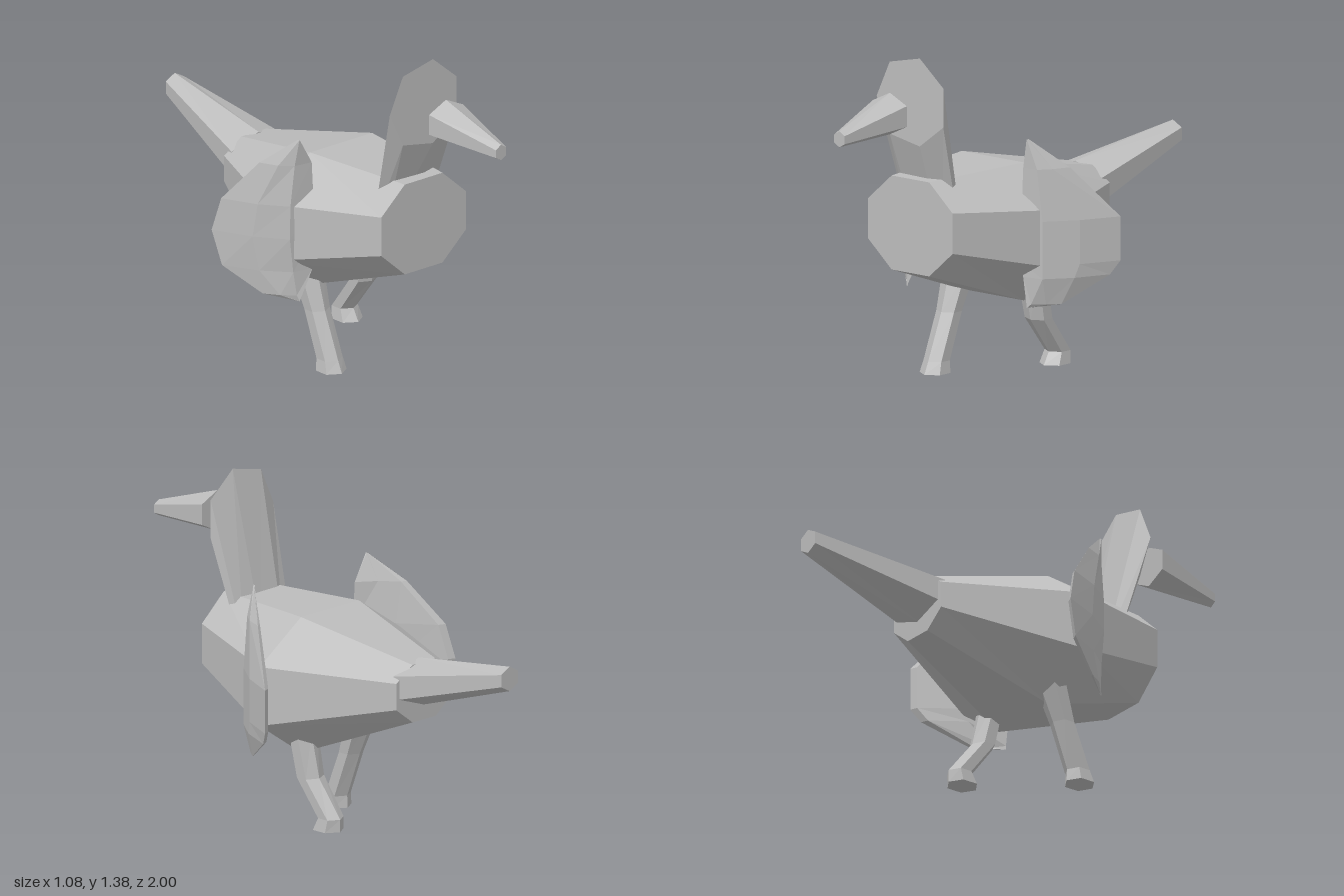
import * as THREE from 'three';

const V = (x, y, z) => new THREE.Vector3(x, y, z);

// Six-sided ring, corner on the first radius axis
const ringXY = (x, y, z, rx, ry) => Array.from({ length: 6 }, (_, i) => {
  const a = i * Math.PI / 3;
  return V(x + rx * Math.sin(a), y + ry * Math.cos(a), z);
});
const ringXZ = (x, y, z, rx, rz) => ringXY(x, z, 0, rx, rz).map(p => V(p.x, y, p.y));

// Closed faceted solid through equal-length rings, oriented outward
function loft(rings) {
  const tris = [];
  const n = rings[0].length;
  for (let r = 0; r < rings.length - 1; r++) {
    for (let i = 0; i < n; i++) {
      const j = (i + 1) % n;
      const [a, b, c, d] = [rings[r][i], rings[r][j], rings[r + 1][j], rings[r + 1][i]];
      tris.push([a, b, c], [a, c, d]);
    }
  }
  const cap = (ring, flip) => {
    const mid = ring.reduce((s, p) => s.add(p), V(0, 0, 0)).divideScalar(n);
    ring.forEach((p, i) => {
      const q = ring[(i + 1) % n];
      tris.push(flip ? [mid, q, p] : [mid, p, q]);
    });
  };
  cap(rings[0], true);
  cap(rings[rings.length - 1], false);
  const o = rings[0][0];
  let volume = 0;
  const area = V(0, 0, 0);
  for (const [a, b, c] of tris) {
    area.crossVectors(b.clone().sub(o), c.clone().sub(o));
    volume += a.clone().sub(o).dot(area);
  }
  const pts = tris.flatMap(([a, b, c]) => (volume < 0 ? [a, c, b] : [a, b, c]));
  const g = new THREE.BufferGeometry().setFromPoints(pts);
  g.computeVertexNormals();
  return g;
}

export function createModel() {
  const group = new THREE.Group();
  const grey = new THREE.MeshStandardMaterial({ color: 0xbcbcbc });
  grey.name = 'plain grey';
  const add = (name, rings) => {
    const mesh = new THREE.Mesh(loft(rings), grey);
    mesh.name = name;
    group.add(mesh);
  };

  // Body: three octagons; [z, topX, sideX, top, upper, lower, bottom]
  add('body', [
    [0.55, 0.10, 0.225, 0.875, 0.765, 0.60, 0.49],
    [0.05, 0.165, 0.40, 0.885, 0.725, 0.48, 0.32],
    [-0.48, 0.065, 0.157, 0.775, 0.715, 0.605, 0.535],
  ].map(([z, t, s, y1, y2, y3, y4]) => [
    V(-t, y1, z), V(t, y1, z), V(s, y2, z), V(s, y3, z),
    V(t, y4, z), V(-t, y4, z), V(-s, y3, z), V(-s, y2, z),
  ]));

  // Flat-faced head narrowing to a neck sunk in the body
  const head = [[-0.11, 1.34], [0.05, 1.375], [0.175, 1.27], [0.175, 1.11],
    [0.05, 1.015], [-0.11, 1.045], [-0.18, 1.19]];
  add('headAndNeck', [
    head.map(([x, y]) => V(x, y, 0.55)),
    head.map(([x, y]) => V(x * 0.77, 0.66 + (y - 1.19) * 0.39, 0.40)),
  ]);

  add('beak', [ringXY(0.005, 1.165, 0.68, 0.104, 0.085), ringXY(0.017, 1.113, 1, 0.032, 0.033)]);
  add('tail', [ringXY(0, 0.687, -0.45, 0.165, 0.1), ringXY(0.037, 0.82, -1, 0.055, 0.051)]);

  // Wings: thin curved blades; levels are [y, innerX, ridgeX, outerX, outerZ]
  const wing = (name, side, levels) => add(name, levels.map(([y, xi, xr, xo, zo]) => {
    const w = Math.min(1, (xo - xi) / 0.2);
    return [
      V(xi, y, 0.185), V(xr, y, 0.185 - 0.015 * w),
      V((xr + xo) / 2 + 0.008 * w, y, (0.17 + zo) / 2 + 0.02 * w),
      V(xo, y, zo), V(xo - 0.03 * w, y, zo + 0.012 * w),
      V((xi + xo) / 2 - 0.005 * w, y, (0.185 + zo) / 2 + 0.015 * w),
    ].map(p => V(p.x * side, p.y, p.z));
  }));
  wing('leftWing', 1, [
    [1.02, 0.298, 0.30, 0.302, 0.18],
    [0.90, 0.28, 0.345, 0.41, 0.05],
    [0.69, 0.27, 0.37, 0.535, -0.115],
    [0.51, 0.27, 0.37, 0.535, -0.115],
    [0.455, 0.28, 0.37, 0.51, -0.08],
    [0.345, 0.297, 0.315, 0.40, 0.09],
    [0.33, 0.298, 0.30, 0.302, 0.18],
  ]);
  wing('rightWing', -1, [
    [1.02, 0.338, 0.34, 0.342, 0.18],
    [0.91, 0.275, 0.355, 0.435, 0.05],
    [0.74, 0.265, 0.375, 0.52, -0.085],
    [0.60, 0.265, 0.378, 0.54, -0.12],
    [0.455, 0.27, 0.36, 0.52, -0.08],
    [0.355, 0.325, 0.347, 0.435, 0.07],
    [0.33, 0.338, 0.34, 0.342, 0.18],
  ]);

  // Legs: stepping pose; levels are [y, z, rx, rz]
  const leg = (name, x, levels) =>
    add(name, levels.map(([y, z, rx, rz]) => ringXZ(x, y, z, rx, rz)));
  leg('rightLeg', -0.18, [
    [0, 0.195, 0.062, 0.065],
    [0.05, 0.185, 0.054, 0.052],
    [0.24, 0.11, 0.054, 0.048],
    [0.40, 0.05, 0.07, 0.06],
  ]);
  leg('leftLeg', 0.182, [
    [0.04, -0.12, 0.061, 0.068],
    [0.092, -0.135, 0.053, 0.053],
    [0.24, -0.02, 0.06, 0.05],
    [0.42, 0.02, 0.068, 0.046],
  ]);

  return group;
}
